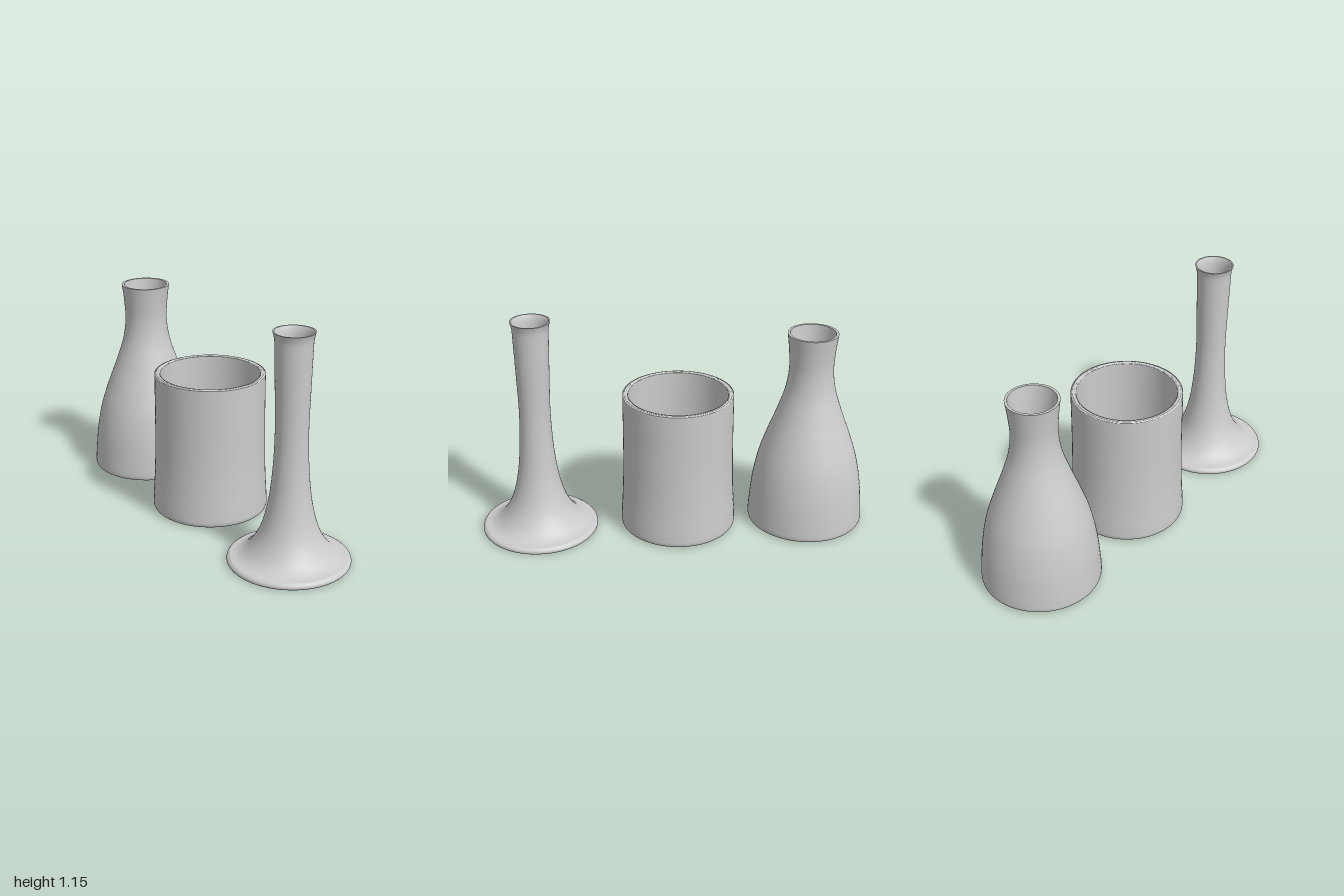
import * as THREE from 'three';
import { mergeGeometries } from 'three/addons/utils/BufferGeometryUtils.js';

const v = (p) => new THREE.Vector2(p[0], p[1]);
const smooth = (pts, n = 48) => new THREE.SplineCurve(pts.map(v)).getPoints(n);

// Hollow turned vessel: each section is lathed separately so the joins stay crisp.
function vessel(name, z, foot, outer, inner) {
  const wall = smooth(outer);
  const bore = smooth(inner);
  const sections = [
    [v([0, 0]), v(foot[0])],           // underside
    smooth([...foot, outer[0]], 8),    // rounded foot edge
    wall,
    [v(outer.at(-1)), v(inner[0])],    // rim
    bore,
    [v(inner.at(-1)), v([0, inner.at(-1)[1]])], // inside floor
  ];
  const geometry = mergeGeometries(sections.map((s) => new THREE.LatheGeometry(s, 72)));
  const mesh = new THREE.Mesh(geometry, new THREE.MeshStandardMaterial({ color: 0xcccccc }));
  mesh.name = name;
  mesh.position.z = z;
  return mesh;
}

export function createModel() {
  const group = new THREE.Group();
  group.name = 'vaseSet';

  // Slender bud vase with a wide trumpet foot
  group.add(vessel('trumpetVase', 0.7,
    [[0.295, 0], [0.3, 0.008], [0.297, 0.02]],
    [[0.285, 0.029], [0.25, 0.036], [0.215, 0.058], [0.182, 0.095], [0.15, 0.15], [0.125, 0.22],
      [0.105, 0.31], [0.092, 0.41], [0.083, 0.53], [0.079, 0.68], [0.083, 0.86], [0.088, 1.04],
      [0.09, 1.105], [0.094, 1.13], [0.1, 1.15]],
    [[0.093, 1.15], [0.085, 1.13], [0.08, 1.1], [0.078, 1.04], [0.073, 0.86], [0.069, 0.68],
      [0.073, 0.53], [0.082, 0.41], [0.095, 0.31], [0.115, 0.22], [0.14, 0.15], [0.172, 0.095],
      [0.205, 0.05], [0.235, 0.025]]));

  // Wide cylindrical pot
  group.add(vessel('cylinderPot', -0.025,
    [[0.272, 0], [0.287, 0.004], [0.296, 0.014]],
    [[0.298, 0.03], [0.296, 0.08], [0.29, 0.18], [0.285, 0.32], [0.283, 0.5], [0.283, 0.715],
      [0.281, 0.733], [0.274, 0.74]],
    [[0.262, 0.74], [0.256, 0.734], [0.254, 0.715], [0.254, 0.5], [0.256, 0.32], [0.26, 0.18],
      [0.264, 0.08], [0.262, 0.04], [0.25, 0.03]]));

  // Bell-shaped flask with a flared neck
  group.add(vessel('flaskVase', -0.7,
    [[0.275, 0], [0.291, 0.004], [0.299, 0.014]],
    [[0.3, 0.03], [0.296, 0.09], [0.283, 0.22], [0.256, 0.36], [0.214, 0.49], [0.166, 0.62],
      [0.128, 0.74], [0.113, 0.85], [0.117, 0.95], [0.128, 1.045]],
    [[0.115, 1.045], [0.104, 0.95], [0.101, 0.85], [0.114, 0.74], [0.15, 0.62], [0.197, 0.49],
      [0.238, 0.36], [0.265, 0.22], [0.278, 0.09], [0.274, 0.045], [0.255, 0.03]]));

  return group;
}
